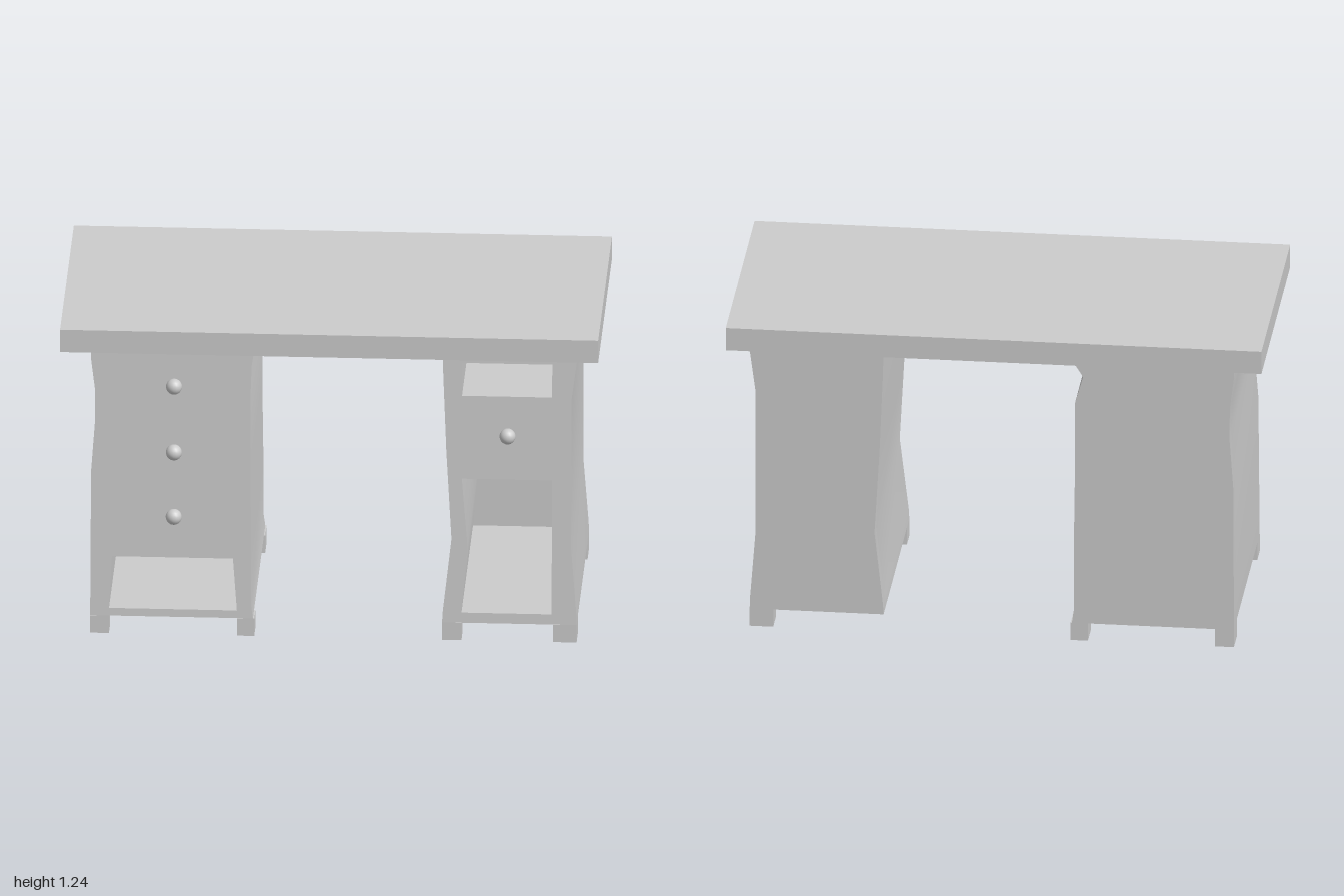
import * as THREE from 'three';
import { toCreasedNormals } from 'three/addons/utils/BufferGeometryUtils.js';

const material = new THREE.MeshStandardMaterial({ color: 0xcccccc });
const BACK = -0.425, PANEL = -0.37, FOOT = 0.07;

// the front of each pedestal leans back as it rises
const frontZ = (y) => 0.46 - 0.048 * y;

const toShape = (points, Type) => new Type(points.map(([x, y]) => new THREE.Vector2(x, y)));

// outline pushed back from the leaning front (or a fixed plane), with an optional rule for x
function slab(outline, holes, back, front, bend) {
  const shape = toShape(outline, THREE.Shape);
  shape.holes = holes.map((hole) => toShape(hole, THREE.Path));
  const geometry = new THREE.ExtrudeGeometry(shape, { depth: 1, bevelEnabled: false });
  const p = geometry.attributes.position;
  for (let i = 0; i < p.count; i++) {
    const y = p.getY(i);
    const z = THREE.MathUtils.lerp(back, front(y), p.getZ(i));
    p.setXYZ(i, bend ? bend(p.getX(i), y, z) : p.getX(i), y, z);
  }
  return toCreasedNormals(geometry, 0.6);
}

function add(group, name, geometry, x = 0, y = 0, z = 0) {
  const mesh = new THREE.Mesh(geometry, material);
  mesh.name = name;
  mesh.position.set(x, y, z);
  group.add(mesh);
}

function pedestal({ name, outline, holes, bend, feet, knobs }) {
  const group = new THREE.Group();
  group.name = name;
  // hollowed body and solid back panel
  add(group, 'body', slab(outline, holes, PANEL, frontZ, bend));
  add(group, 'backPanel', slab(outline, [], BACK, () => PANEL, bend));
  for (const [x0, x1, z0, z1] of feet) {
    add(group, 'foot', new THREE.BoxGeometry(x1 - x0, FOOT, z1 - z0),
      (x0 + x1) / 2, FOOT / 2, (z0 + z1) / 2);
  }
  // round drawer knobs
  for (const [x, y] of knobs) {
    add(group, 'knob', new THREE.SphereGeometry(0.03, 16, 12), x, y, frontZ(y) + 0.01);
  }
  return group;
}

export function createModel() {
  const desk = new THREE.Group();
  desk.name = 'desk';
  add(desk, 'tabletop', new THREE.BoxGeometry(2, 0.09, 0.985), 0, 1.19, 0);

  const frontFoot = [0.375, 0.458], backFoot = [BACK, -0.325];

  // drawer pedestal: its inner side is pinched towards the back, just under the top
  desk.add(pedestal({
    name: 'rightPedestal',
    outline: [
      [-0.89, FOOT], [-0.285, FOOT], [-0.292, 0.12], [-0.292, 0.35], [-0.296, 0.65],
      [-0.296, 0.96], [-0.292, 1.07], [-0.28, 1.145],
      [-0.89, 1.145], [-0.89, 1.09], [-0.875, 0.97], [-0.873, 0.85], [-0.888, 0.64],
    ],
    holes: [[[-0.82, 0.1], [-0.345, 0.1], [-0.36, 0.305], [-0.81, 0.305]]],
    bend: (x, y, z) => (Math.abs(y - 1.07) < 0.01 && x > -0.4 ? x - 0.035 * (0.41 - z) / 0.835 : x),
    feet: [frontFoot, backFoot].flatMap((z) => [[-0.89, -0.82, ...z], [-0.345, -0.28, ...z]]),
    knobs: [[-0.58, 0.985], [-0.58, 0.725], [-0.58, 0.47]],
  }));

  // open-shelf pedestal: only three feet, none at the inner back corner
  desk.add(pedestal({
    name: 'leftPedestal',
    outline: [
      [0.418, FOOT], [0.918, FOOT], [0.917, 0.11], [0.897, 0.37], [0.897, 0.96],
      [0.918, 1.12], [0.918, 1.145],
      [0.418, 1.145], [0.42, 1.05], [0.432, 0.75], [0.452, 0.4], [0.42, 0.11],
    ],
    holes: [
      [[0.49, 0.968], [0.825, 0.968], [0.825, 1.098], [0.49, 1.098]],
      [[0.49, 0.11], [0.825, 0.11], [0.825, 0.64], [0.49, 0.64], [0.512, 0.37]],
    ],
    feet: [[0.418, 0.49, ...frontFoot], [0.83, 0.918, ...frontFoot], [0.83, 0.918, ...backFoot]],
    knobs: [[0.66, 0.815]],
  }));
  return desk;
}
